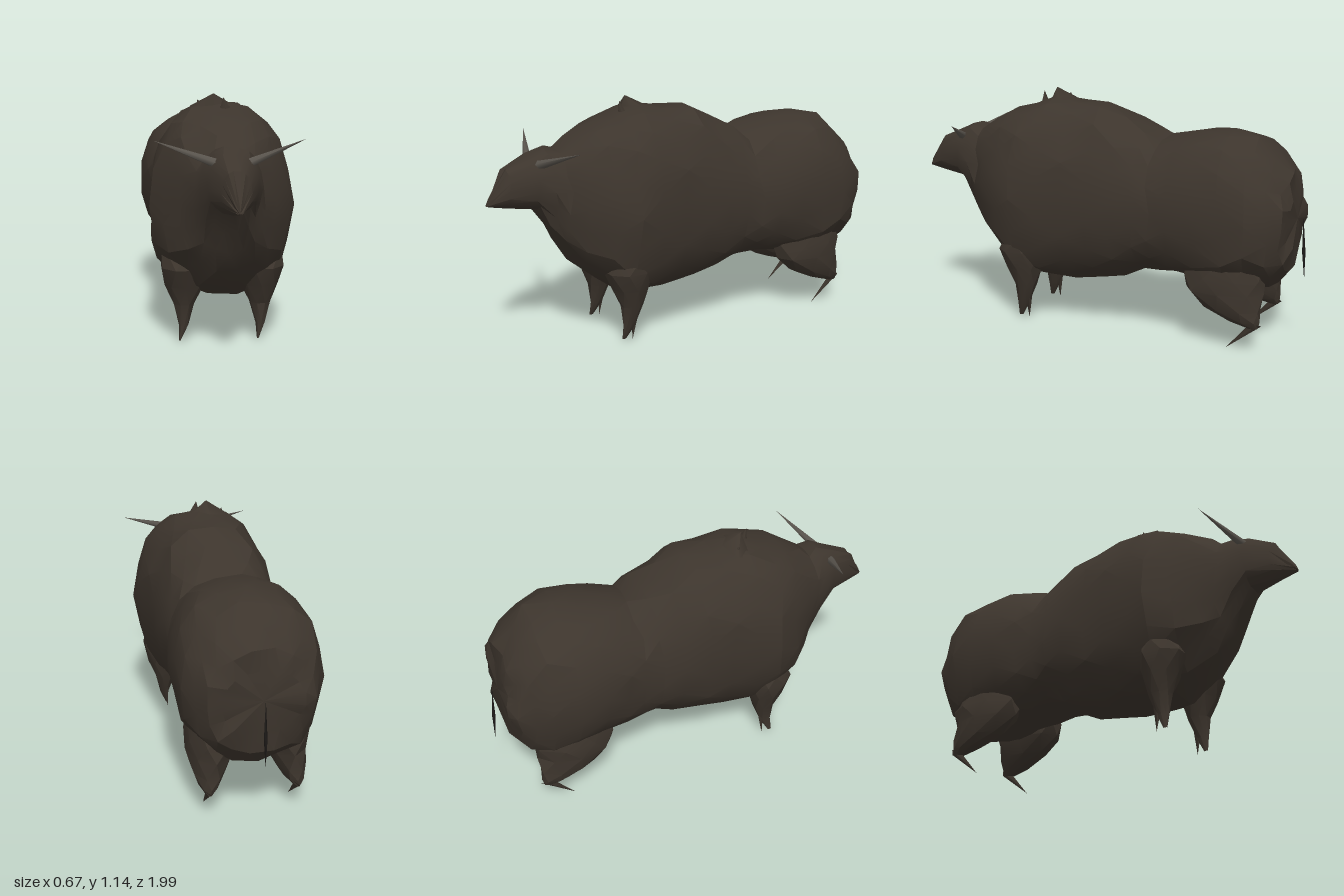
import * as THREE from 'three';
import { toCreasedNormals } from 'three/addons/utils/BufferGeometryUtils.js';

const fur = new THREE.MeshStandardMaterial({ color: 0x3d352d });
fur.name = 'dark brown fur';
const horn = new THREE.MeshStandardMaterial({ color: 0x5a554e });
horn.name = 'grey horn';
const hair = new THREE.MeshStandardMaterial({ color: 0x1e1b19 });
hair.name = 'black tail hair';

// Repeatable noise in -1..1
const noise = (i, j, k) => {
  const s = Math.sin(i * 127.1 + j * 311.7 + k * 74.7) * 43758.5453;
  return 2 * (s - Math.floor(s)) - 1;
};

// Lofts rings [position along axis, low, high, half width, centre x].
// Axis 'z' runs front to back, axis 'y' runs top to bottom.
function loft(name, rings, { axis = 'z', sides = 14, rough = 0, power = 2.3, seed = 1 }) {
  const pos = [], index = [];
  const bend = (v) => Math.sign(v) * Math.abs(v) ** (2 / power);
  rings.forEach(([a, lo, hi, hw, cx = 0], i) => {
    for (let j = 0; j < sides; j++) {
      const t = ((j + 0.5 * (i % 2)) / sides) * Math.PI * 2;
      const inner = i > 0 && i < rings.length - 1 ? 1 : 0;
      const k = 1 + rough * inner * noise(i, j, seed);
      const x = cx + hw * k * bend(Math.cos(t));
      const b = ((hi - lo) / 2) * k * bend(Math.sin(t));
      const along = a + rough * 0.45 * inner * noise(j, i, seed + 5);
      if (axis === 'z') pos.push(x, (lo + hi) / 2 + b, along);
      else pos.push(x, a, (lo + hi) / 2 - b);
    }
  });
  for (let i = 0; i < rings.length - 1; i++) {
    for (let j = 0; j < sides; j++) {
      const n = (j + 1) % sides;
      const a = i * sides + j, b = i * sides + n;
      const c = a + sides, d = b + sides;
      // Staggered rings: use the shorter diagonal
      if (i % 2 === 0) index.push(a, c, b, b, c, d);
      else index.push(a, c, d, a, d, b);
    }
  }
  const g = new THREE.BufferGeometry();
  g.setAttribute('position', new THREE.Float32BufferAttribute(pos, 3));
  g.setIndex(index);
  const mesh = new THREE.Mesh(toCreasedNormals(g, 0.4), fur);
  mesh.name = name;
  return mesh;
}

// Thin cone from base to tip
function spike(name, base, tip, radius, sides, material) {
  const a = new THREE.Vector3(...base), b = new THREE.Vector3(...tip);
  const dir = b.clone().sub(a);
  const mesh = new THREE.Mesh(new THREE.ConeGeometry(radius, dir.length(), sides, 1, true), material);
  mesh.position.copy(a).add(b).multiplyScalar(0.5);
  mesh.quaternion.setFromUnitVectors(new THREE.Vector3(0, 1, 0), dir.normalize());
  mesh.name = name;
  return mesh;
}

export function createModel() {
  const model = new THREE.Group();
  model.name = 'shaggyHornedBeast';

  // Wedge-shaped head, shoulder hump and rump in one skin
  model.add(loft('headAndBody', [
    [1.0, 0.71, 0.71, 0], [0.98, 0.705, 0.745, 0.018], [0.90, 0.69, 0.87, 0.065],
    [0.78, 0.67, 0.925, 0.11], [0.71, 0.58, 0.95, 0.135], [0.65, 0.48, 0.94, 0.16],
    [0.58, 0.385, 0.99, 0.22], [0.48, 0.28, 1.04, 0.285], [0.38, 0.21, 1.07, 0.325],
    [0.27, 0.195, 1.095, 0.325], [0.13, 0.205, 1.10, 0.305], [0.00, 0.215, 1.09, 0.295],
    [-0.12, 0.25, 1.04, 0.29], [-0.23, 0.29, 0.98, 0.285], [-0.31, 0.30, 0.94, 0.285],
    [-0.40, 0.29, 0.97, 0.30], [-0.53, 0.27, 1.00, 0.325], [-0.66, 0.25, 1.00, 0.325],
    [-0.77, 0.25, 0.975, 0.31], [-0.86, 0.28, 0.91, 0.28], [-0.925, 0.35, 0.82, 0.24],
    [-0.947, 0.46, 0.73, 0.18], [-0.95, 0.60, 0.60, 0],
  ], { rough: 0.035, sides: 18 }));

  for (const s of [-1, 1]) {
    const side = s > 0 ? 'left' : 'right';
    const footX = s * 0.183 - 0.017;

    // Pointed front legs tapering out of the chest
    model.add(loft(side + 'FrontLeg', [
      [0.42, 0.28, 0.47, 0.10, s * 0.18], [0.36, 0.26, 0.50, 0.11, s * 0.18],
      [0.27, 0.28, 0.46, 0.09, s * 0.175], [0.18, 0.31, 0.42, 0.05, s * 0.178],
      [0.08, 0.35, 0.41, 0.022, s * 0.18], [0.01, 0.39, 0.41, 0.004, footX],
    ], { axis: 'y', sides: 8, rough: 0.04, seed: 7 + s, power: 2 }));
    model.add(spike(side + 'FrontHoof', [s * 0.18, 0.15, 0.35], [footX, 0, 0.355], 0.022, 4, fur));

    // Heavy hind legs with a thin foot pointing forward
    model.add(loft(side + 'HindLeg', [
      [0.42, -0.83, -0.48, 0.10, s * 0.165], [0.34, -0.85, -0.46, 0.11, s * 0.17],
      [0.27, -0.84, -0.47, 0.10, s * 0.175], [0.19, -0.84, -0.56, 0.075, s * 0.185],
      [0.14, -0.84, -0.68, 0.045, s * 0.195], [0.11, -0.83, -0.78, 0.015, s * 0.2],
    ], { axis: 'y', sides: 8, rough: 0.04, seed: 11 + s, power: 2 }));
    model.add(spike(side + 'HindHoof', [s * 0.2, 0.14, -0.83], [s * 0.2, 0, -0.68], 0.022, 4, fur));

    // Horns sweeping outward and back
    model.add(spike(side + 'Horn', [s * 0.07, 0.885, 0.765], [s * 0.33, 0.975, 0.675], 0.022, 6, horn));
  }

  // Low tufts of fur on the hump: base, tip, radius
  const tufts = [[-0.03, 1.07, 0.25, -0.03, 1.145, 0.28, 0.12], [0.02, 1.07, 0.32, 0.01, 1.13, 0.33, 0.03],
    [-0.08, 1.06, 0.22, -0.1, 1.115, 0.24, 0.035]];
  for (const [x, y, z, tx, ty, tz, r] of tufts) {
    const tuft = spike('furTuft', [x, y, z], [tx, ty, tz], r, 6, fur);
    tuft.scale.z = 0.6;
    model.add(tuft);
  }

  // Thin hanging tail
  model.add(spike('tail', [0, 0.44, -0.985], [0, 0.31, -0.992], 0.008, 4, hair));
  model.add(spike('tailRoot', [0, 0.44, -0.985], [0, 0.62, -0.976], 0.008, 4, hair));

  return model;
}
